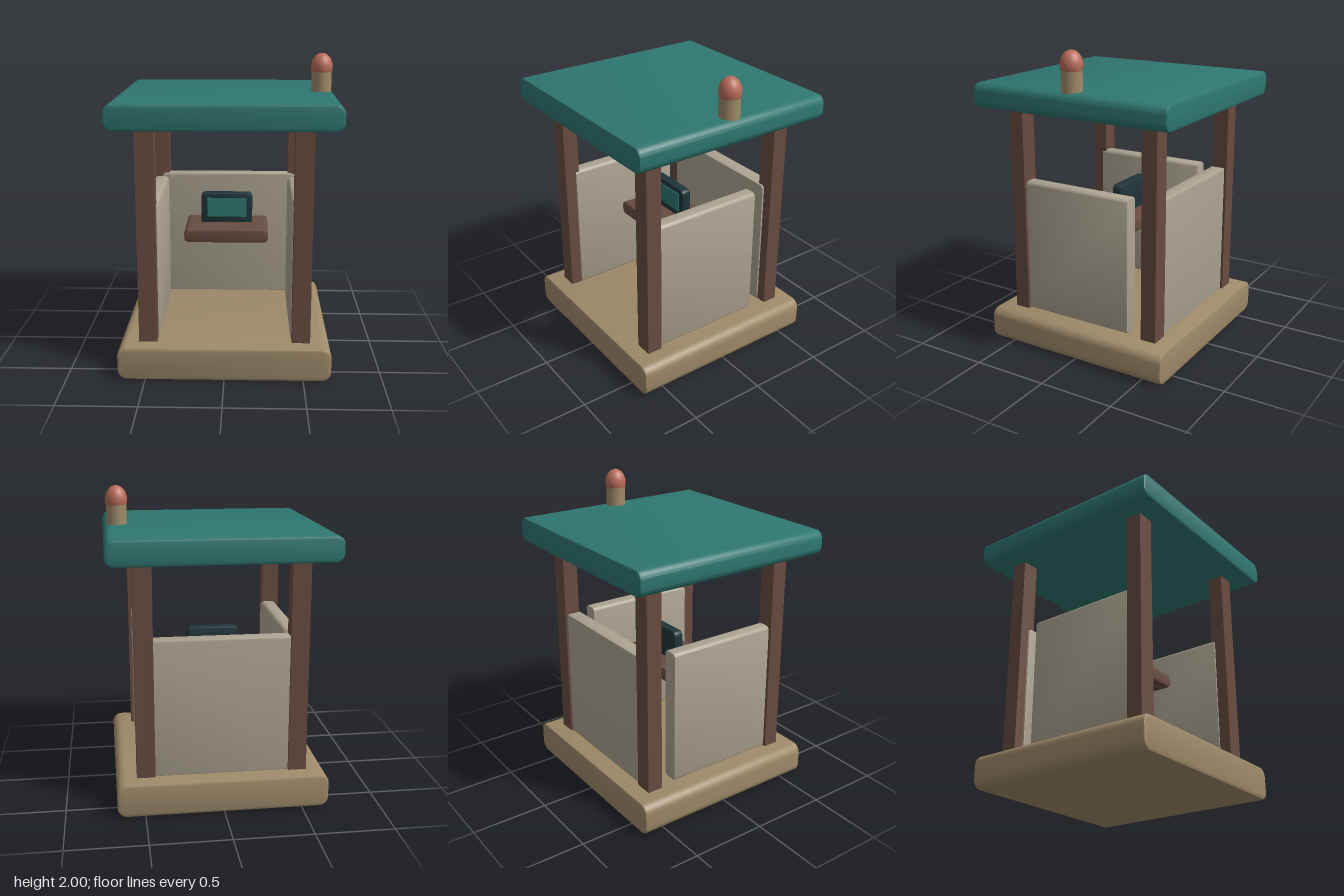
import * as THREE from 'three';
import { toCreasedNormals } from 'three/addons/utils/BufferGeometryUtils.js';

const material = (name, color) => {
  const m = new THREE.MeshStandardMaterial({ color });
  m.name = name;
  return m;
};

// Rounded rectangle in x/y, extruded along z with a small bevel; w, h, d are overall sizes
function slab(w, h, d, radius, bevel) {
  const a = w / 2 - bevel, b = h / 2 - bevel, r = Math.max(radius - bevel, 0.004);
  const s = new THREE.Shape();
  s.moveTo(-a + r, -b);
  s.lineTo(a - r, -b);
  s.absarc(a - r, -b + r, r, -Math.PI / 2, 0);
  s.lineTo(a, b - r);
  s.absarc(a - r, b - r, r, 0, Math.PI / 2);
  s.lineTo(-a + r, b);
  s.absarc(-a + r, b - r, r, Math.PI / 2, Math.PI);
  s.lineTo(-a, -b + r);
  s.absarc(-a + r, -b + r, r, Math.PI, Math.PI * 1.5);
  const g = new THREE.ExtrudeGeometry(s, {
    depth: d - 2 * bevel, bevelEnabled: true, bevelThickness: bevel,
    bevelSize: bevel, bevelSegments: 2, curveSegments: 5,
  });
  g.translate(0, 0, -(d - 2 * bevel) / 2);
  return toCreasedNormals(g, 0.6);
}

export function createModel() {
  const teal = material('teal', 0x2f7770);
  const tan = material('tan', 0x9e8a69);
  const stone = material('warm grey', 0xaca492);
  const wood = material('brown wood', 0x684c42);
  const dark = material('dark slate', 0x1f3438);
  const clay = material('clay red', 0xb86c5a);

  const model = new THREE.Group();
  model.name = 'booth';
  const add = (name, geometry, mat, x, y, z) => {
    const mesh = new THREE.Mesh(geometry, mat);
    mesh.name = name;
    mesh.position.set(x, y, z);
    model.add(mesh);
    return mesh;
  };

  // Floor and roof
  add('floorBase', slab(1.35, 0.215, 1.3, 0.06, 0.017), tan, 0, 0.1075, 0);
  add('roof', slab(1.415, 0.16, 1.38, 0.055, 0.015), teal, 0, 1.675, 0);

  // Corner posts and side walls
  const post = new THREE.BoxGeometry(0.117, 1.42, 0.103);
  const sideWall = slab(0.105, 0.9, 0.79, 0.03, 0.01);
  for (const [side, x] of [['left', 1], ['right', -1]]) {
    add(side + 'FrontPost', post, wood, x * 0.487, 0.91, 0.489);
    add(side + 'BackPost', post, wood, x * 0.487, 0.91, -0.489);
    add(side + 'Wall', sideWall, stone, x * 0.473, 0.657, 0.07);
  }
  add('backWall', slab(0.96, 0.9, 0.1, 0.03, 0.01), stone, 0, 0.657, -0.475);

  // Counter with a display
  add('counter', slab(0.555, 0.09, 0.38, 0.03, 0.012), wood, 0, 0.815, 0);
  add('displayCase', slab(0.345, 0.23, 0.065, 0.03, 0.01), dark, 0, 0.948, -0.032);
  add('displayScreen', new THREE.BoxGeometry(0.265, 0.13, 0.008), teal, 0, 0.965, 0.003);

  // Lamp on the roof edge
  add('lampStem', new THREE.CylinderGeometry(0.065, 0.065, 0.18, 28), tan, 0.616, 1.79, 0);
  const bulb = add('lampBulb', new THREE.SphereGeometry(0.07, 28, 14, 0, Math.PI * 2, 0, 1.92), clay, 0.616, 1.91, 0);
  bulb.scale.y = 1.285;

  return model;
}
